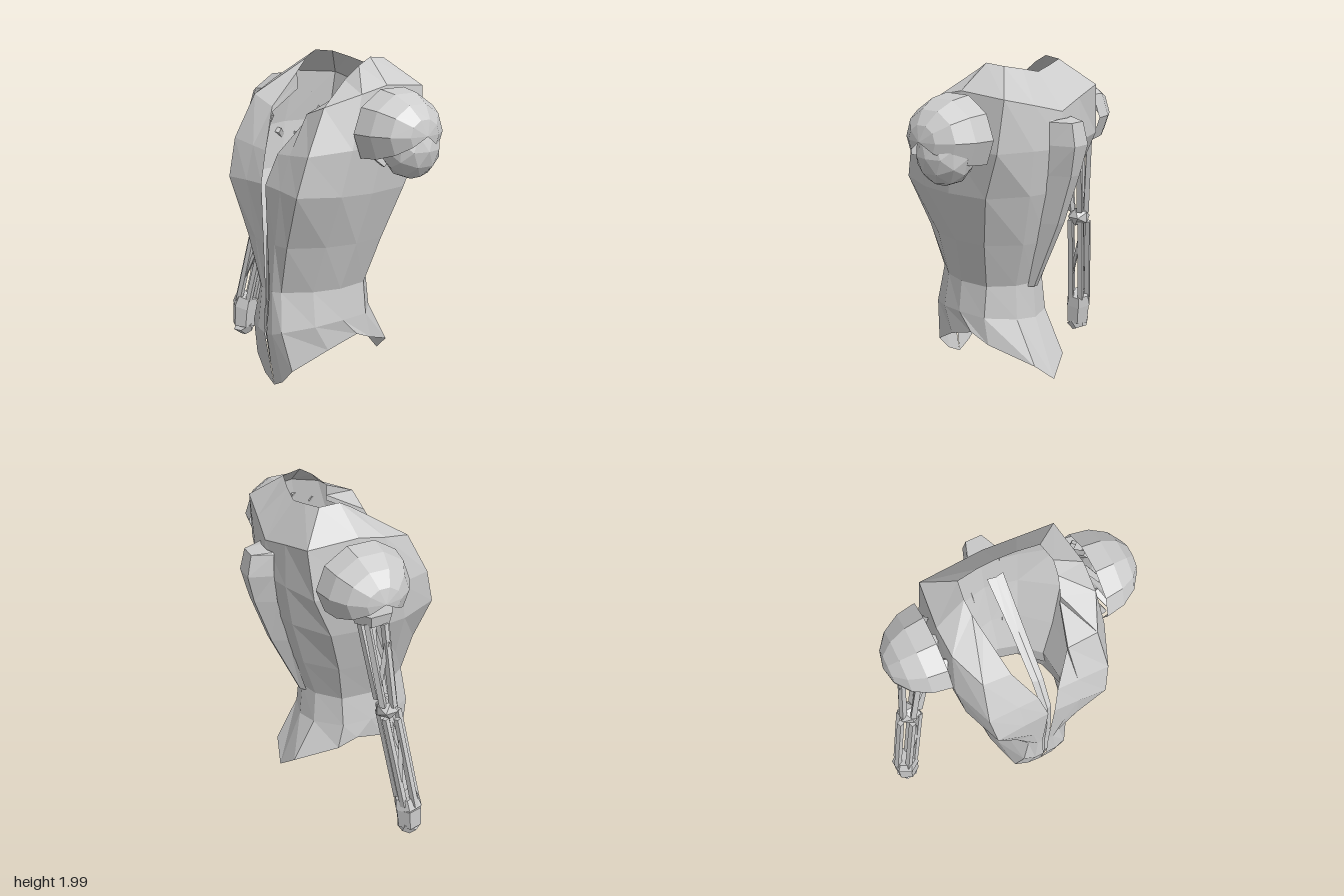
import * as THREE from 'three';

const MID = 0.08; // centre line of the torso
const mat = new THREE.MeshStandardMaterial({ color: 0xcccccc, flatShading: true, side: THREE.DoubleSide });

function add(parent, name, geometry) {
  const mesh = new THREE.Mesh(geometry, mat);
  mesh.name = name;
  parent.add(mesh);
  return mesh;
}

// Surface through rows of points, all rows of equal length
function loft(rows) {
  const n = rows[0].length, index = [];
  for (let r = 0; r < rows.length - 1; r++) {
    for (let c = 0; c < n - 1; c++) {
      const a = r * n + c, b = a + n;
      index.push(a, b, a + 1, a + 1, b, b + 1);
    }
  }
  const g = new THREE.BufferGeometry();
  g.setAttribute('position', new THREE.Float32BufferAttribute(rows.flat(2), 3));
  g.setIndex(index);
  g.computeVertexNormals();
  return g;
}

// Tapered bar between two points
function bar(parent, name, a, b, r0, r1, sides = 4) {
  const A = new THREE.Vector3(...a), B = new THREE.Vector3(...b);
  const d = B.clone().sub(A);
  const m = add(parent, name, new THREE.CylinderGeometry(r1, r0, d.length(), sides));
  m.position.copy(A).add(B).multiplyScalar(0.5);
  m.quaternion.setFromUnitVectors(new THREE.Vector3(0, 1, 0), d.normalize());
  return m;
}

function torsoShell() {
  // rows, hem to collar: half width, z front, z back, y front, y side, y back,
  // front gap, blade depth, front corner (small is rounded, large is square)
  const rows = [
    [0.3, 0.475, -0.35, 0.01, 0.34, 0.05, 0, -0.3, 0.62],
    [0.295, 0.53, -0.2, 0.36, 0.45, 0.42, 0.01, -0.52, 0.5],
    [0.27, 0.51, -0.18, 0.63, 0.64, 0.64, 0.02, -0.55, 0.4],
    [0.36, 0.52, -0.28, 0.93, 0.93, 0.92, 0.02, -0.52, 0.56],
    [0.45, 0.53, -0.37, 1.27, 1.24, 1.24, 0.02, -0.58, 0.77],
    [0.48, 0.47, -0.41, 1.45, 1.52, 1.5, 0.06, -0.74, 0.77],
    [0.44, 0.34, -0.39, 1.65, 1.84, 1.71, 0.17, -0.8, 0.78],
    [0.26, 0.11, -0.21, 1.76, 1.98, 1.92, 0.23, -0.72, 0.77],
  ];
  return loft(rows.map(([w, zf, zb, yF, yS, yB, gap, blade, corner]) => {
    // columns, front to back: width factor, depth factor, height weight
    const cols = [
      [0, 0.97, 1], [corner * 0.5, 0.98, 0.85], [corner, 0.8 + 0.26 * corner, 0.55],
      [0.64 + 0.43 * corner, 0.47, 0.2], [1, 0, 0], [0.93, blade, 0.2], [0.45, -0.9, 0.6], [0, -1, 1],
    ];
    const half = cols.map(([u, v, k]) => [
      v > 0 ? Math.max(gap, w * u) : w * u,
      yS + ((v > 0 ? yF : yB) - yS) * k,
      (zf + zb) / 2 + v * (zf - zb) / 2,
    ]);
    const left = half.map(([x, y, z]) => [MID + x, y, z]);
    const right = half.slice(0, -1).reverse().map(([x, y, z]) => [MID - x, y, z]);
    return [...left, ...right];
  }));
}

// Raised keel down the back: y, z at base, z at crest, base and crest half widths
function spineRidge() {
  const rows = [
    [0.62, -0.17, -0.2, 0.04, 0.015], [1.05, -0.3, -0.39, 0.08, 0.03],
    [1.35, -0.37, -0.49, 0.1, 0.04], [1.53, -0.39, -0.53, 0.11, 0.06],
    [1.66, -0.38, -0.5, 0.1, 0.05], [1.67, -0.38, -0.4, 0.09, 0.04],
  ];
  return loft(rows.map(([y, z0, z1, b, c]) => [
    [MID - b, y, z0], [MID - c, y, z1], [MID + c, y, z1], [MID + b, y, z0],
  ]));
}

// Flat strap from the nape to the breastbone and down the front slit
function innerStrap() {
  const path = [[1.7, -0.22, 0.05], [1.54, 0.06, 0.04], [1.36, 0.33, 0.035], [1.2, 0.46, 0.03],
    [0.9, 0.48, 0.035], [0.6, 0.48, 0.04], [0.4, 0.5, 0.04], [0.15, 0.475, 0.02]];
  return loft(path.map(([y, z, w]) => [
    [MID - w, y, z], [MID, y + 0.005, z + 0.012], [MID + w, y, z],
  ]));
}

function shoulder(side) {
  const g = new THREE.Group();
  g.name = side > 0 ? 'leftShoulder' : 'rightShoulder';
  // cap open underneath
  const span = Math.PI * 1.4, top = side > 0 ? 0 : Math.PI;
  const cap = new THREE.SphereGeometry(1, 7, 4, top - span / 2, span, 0, Math.PI / 2);
  cap.rotateZ(-side * Math.PI / 2);
  cap.scale(0.3, 0.24, 0.27);
  add(g, 'pauldron', cap).position.set(MID + side * 0.475, 1.6, -0.03);
  // ragged socket between torso and pauldron
  for (let i = 0; i < 8; i++) {
    const a = i * Math.PI / 4, b = a + 0.5;
    bar(g, 'socketRib',
      [MID + side * 0.46, 1.58 + 0.15 * Math.cos(a), -0.03 + 0.18 * Math.sin(a)],
      [MID + side * 0.5, 1.58 + 0.18 * Math.cos(b), -0.03 + 0.22 * Math.sin(b)], 0.025, 0.02);
  }
  return g;
}

// Open lattice limb: bars around a centre line
function lattice(parent, name, a, b, ra, rb) {
  const ring = (c, r, t) => [c[0] + r * Math.cos(t), c[1] + 0.2 * r * Math.cos(t), c[2] + 0.85 * r * Math.sin(t)];
  for (let i = 0; i < 5; i++) {
    const t = i * Math.PI * 0.4 + 0.3;
    bar(parent, name + 'Bar', ring(a, ra, t), ring(b, rb, t), 0.022, 0.024);
    const c = a.map((v, k) => v + (b[k] - v) * 0.2), d = a.map((v, k) => v + (b[k] - v) * 0.75);
    if (i % 2 === 0) bar(parent, name + 'Brace', ring(c, ra, t), ring(d, rb, t + 1.256), 0.016, 0.016, 3);
  }
}

function rightArm() {
  const g = new THREE.Group();
  g.name = 'rightArm';
  const top = [-0.53, 1.45, -0.02], elbow = [-0.635, 0.87, 0.03], wrist = [-0.765, 0.24, 0.12];
  lattice(g, 'upperArm', top, [-0.625, 0.91, 0.03], 0.092, 0.058);
  lattice(g, 'forearm', [-0.645, 0.84, 0.04], wrist, 0.068, 0.066);
  bar(g, 'armCap', [-0.52, 1.49, -0.02], [-0.525, 1.42, -0.02], 0.13, 0.11, 6);
  const joint = add(g, 'elbow', new THREE.IcosahedronGeometry(0.085, 0));
  joint.position.set(...elbow);
  joint.scale.set(0.9, 0.8, 0.9);
  bar(g, 'wristCuff', [-0.755, 0.27, 0.115], [-0.77, 0.2, 0.125], 0.075, 0.09, 6);
  bar(g, 'fist', [-0.77, 0.2, 0.125], [-0.775, 0.06, 0.135], 0.085, 0.078, 6);
  bar(g, 'knuckles', [-0.775, 0.06, 0.135], [-0.77, 0.01, 0.11], 0.078, 0.05, 6);
  return g;
}

export function createModel() {
  const model = new THREE.Group();
  model.name = 'armourTorso';
  add(model, 'torsoShell', torsoShell());
  add(model, 'spineRidge', spineRidge());
  add(model, 'innerStrap', innerStrap());
  // shoulders, with the left ending in a bare joint
  model.add(shoulder(1), shoulder(-1));
  const stump = add(model, 'leftStump', new THREE.IcosahedronGeometry(0.175, 1));
  stump.position.set(0.69, 1.51, -0.06);
  stump.scale.set(0.85, 1, 1);
  model.add(rightArm());
  return model;
}
